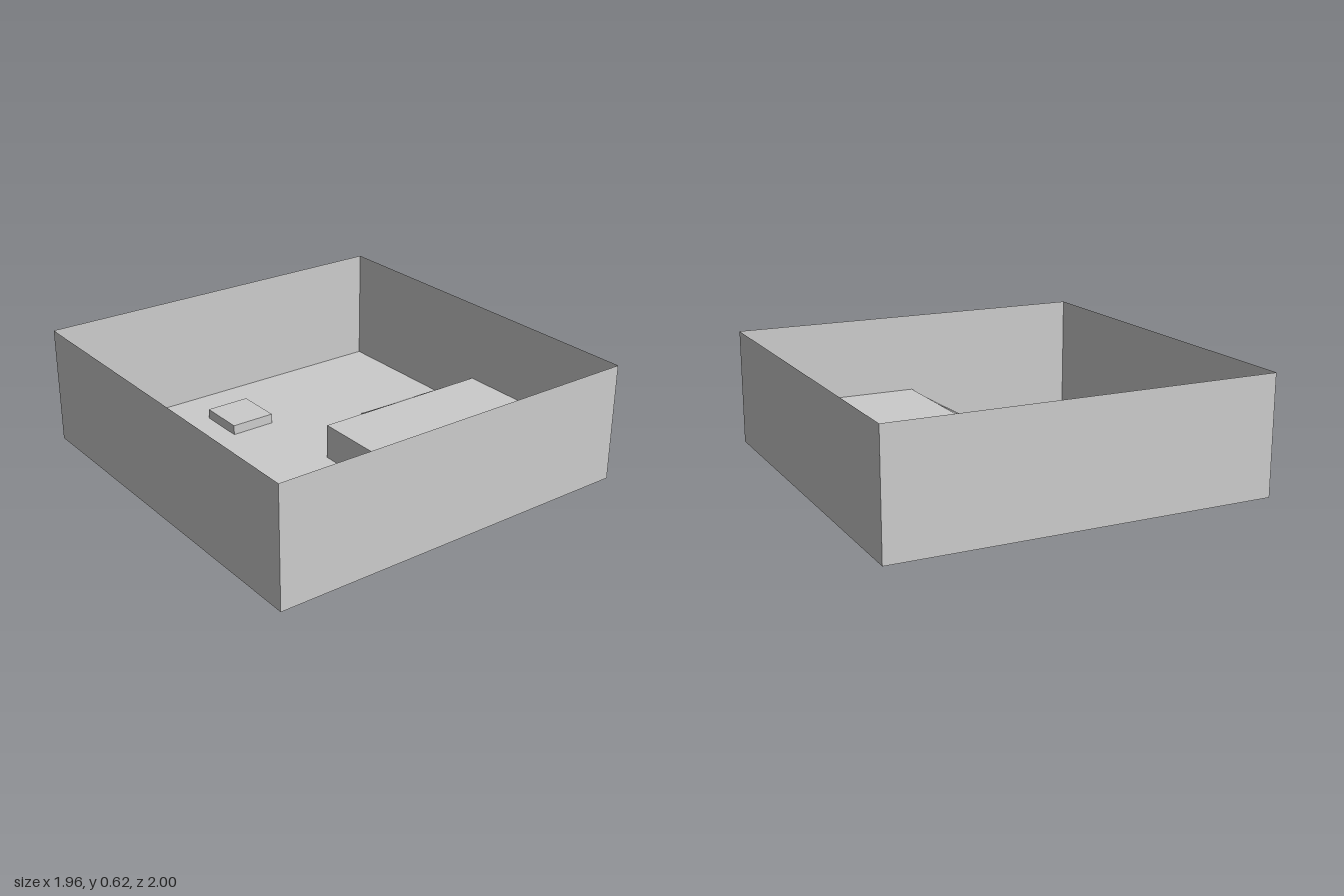
import * as THREE from 'three';

const W = 0.98, D = 1, FLOOR = 0.018, RIM = 0.625, DECK = 0.2;
const mat = new THREE.MeshStandardMaterial({ color: 0xcccccc, side: THREE.DoubleSide, flatShading: true });

export function createModel() {
  const model = new THREE.Group();

  const add = (name, geometry, x = 0, y = 0, z = 0, parent = model) => {
    const mesh = new THREE.Mesh(geometry, mat);
    mesh.name = name;
    mesh.position.set(x, y, z);
    parent.add(mesh);
    return mesh;
  };

  // Thin upright panel from (x0, z0) to (x1, z1)
  const panel = (name, x0, z0, x1, z1, y0, y1, parent) => {
    const g = new THREE.PlaneGeometry(Math.hypot(x1 - x0, z1 - z0), y1 - y0);
    g.rotateY(Math.atan2(-(z1 - z0), x1 - x0));
    add(name, g, (x0 + x1) / 2, (y0 + y1) / 2, (z0 + z1) / 2, parent);
  };

  // Thin level sheet with its outline given as [x, z]
  const sheet = (name, outline, y, hole, parent) => {
    const points = (list) => list.map(([x, z]) => new THREE.Vector2(x, -z));
    const shape = new THREE.Shape(points(outline));
    if (hole) shape.holes.push(new THREE.Path(points(hole)));
    add(name, new THREE.ShapeGeometry(shape).rotateX(-Math.PI / 2), 0, y, 0, parent);
  };

  const rect = (x0, z0, x1, z1) => [[x0, z0], [x0, z1], [x1, z1], [x1, z0]];

  // Ring of sheets without a bottom: a closed outline raised from y0 to y1
  const ring = (name, outline, y0, y1, parent) => outline.forEach(([x, z], i) => {
    const [nx, nz] = outline[(i + 1) % outline.length];
    panel(name, x, z, nx, nz, y0, y1, parent);
  });

  // Outer walls, open at the top
  const walls = new THREE.Group();
  walls.name = 'outerWalls';
  model.add(walls);
  ring('wall', rect(-W, -D, W, D), FLOOR, RIM, walls);

  // L-shaped floor, open under the low block
  const block = rect(-0.24, -0.75, 0, -0.5);
  sheet('floor', [[-W, -D], [-W, D], [0, D], [0, 0], [W, 0], [W, -D]], FLOOR, block);

  // Low square block, hollow from below
  const lowBlock = new THREE.Group();
  lowBlock.name = 'lowBlock';
  model.add(lowBlock);
  ring('blockSide', block, FLOOR, 0.07, lowBlock);
  sheet('blockTop', block, 0.07, null, lowBlock);

  // Raised corner platform, hollow from below
  const platform = new THREE.Group();
  platform.name = 'platform';
  model.add(platform);
  sheet('platformTop', rect(0, 0, W, D), DECK, null, platform);
  panel('platformSide', 0, 0, 0, D, FLOOR, DECK, platform);
  panel('platformBack', 0, 0, W, 0, FLOOR, DECK, platform);

  // Wedge ramps up to the platform
  const ramp = (width, base) => new THREE.ExtrudeGeometry(new THREE.Shape([
    new THREE.Vector2(-0.32, base), new THREE.Vector2(0, base), new THREE.Vector2(0, DECK),
  ]), { depth: width, bevelEnabled: false });
  add('wideRamp', ramp(0.33, 0.01).rotateY(-Math.PI / 2), 0.785, 0, 0);
  add('narrowRamp', ramp(0.155, 0.014), 0, 0, 0.645);

  // Round post and small crate
  add('post', new THREE.CylinderGeometry(0.06, 0.06, 0.135, 32), -0.775, 0.0675, -0.135).material =
    new THREE.MeshStandardMaterial({ color: 0xcccccc });
  add('crate', new THREE.BoxGeometry(0.09, 0.09, 0.09), -0.495, 0.057, 0.365);

  return model;
}
